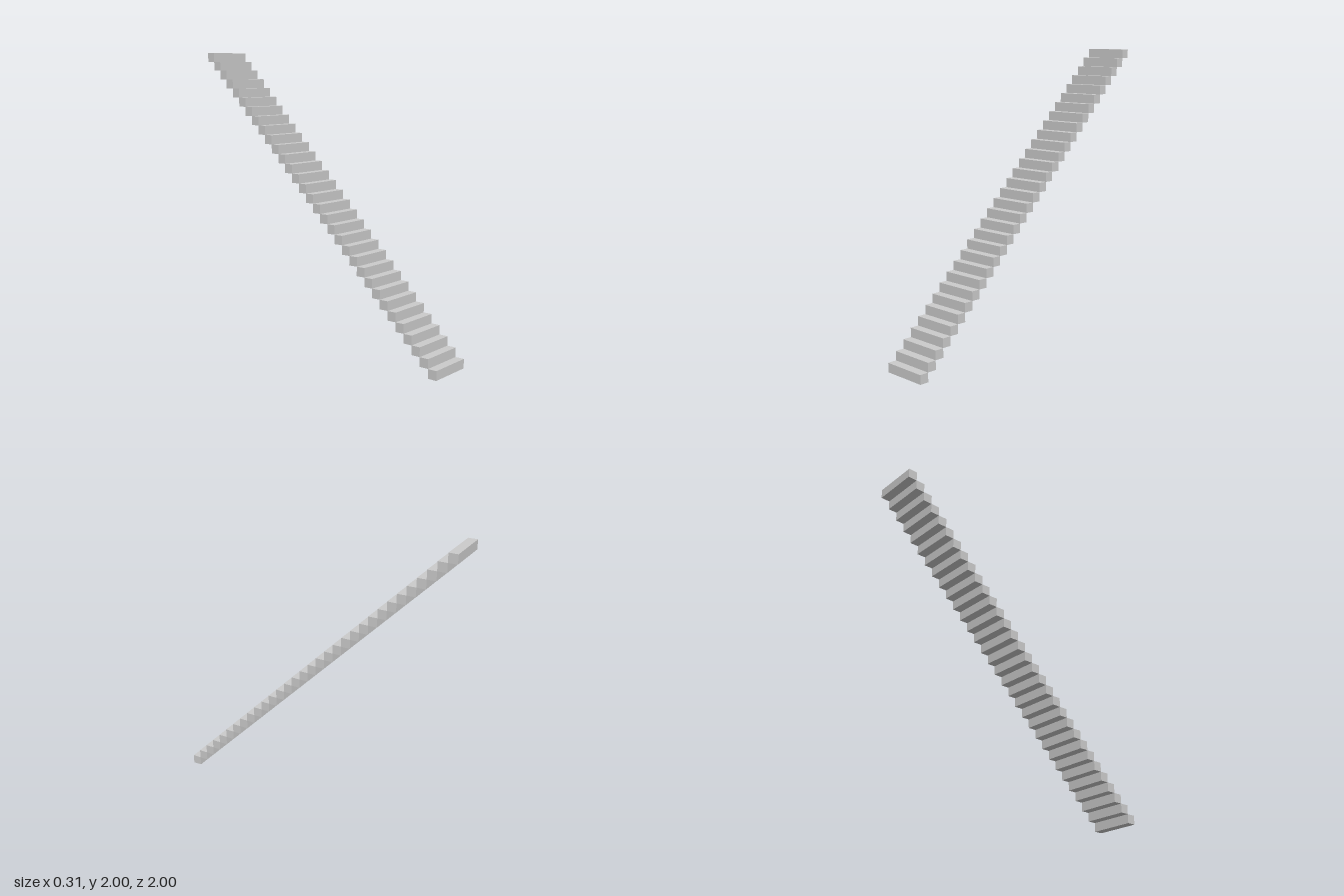
import * as THREE from 'three';

const STEPS = 32;
const SIZE = 2 / STEPS; // rise and depth of one step
const WIDTH = SIZE * 5;

export function createModel() {
  const staircase = new THREE.Group();
  staircase.name = 'staircase';
  const material = new THREE.MeshStandardMaterial({ color: 0xcccccc, flatShading: true });
  const block = new THREE.BoxGeometry(WIDTH, SIZE, SIZE);

  // Square steps climbing from the front to the back, touching edge to edge
  for (let i = 0; i < STEPS; i++) {
    const step = new THREE.Mesh(block, material);
    step.name = `step${i + 1}`;
    const offset = (i + 0.5) * SIZE;
    step.position.set(0, offset, 1 - offset);
    staircase.add(step);
  }
  return staircase;
}
